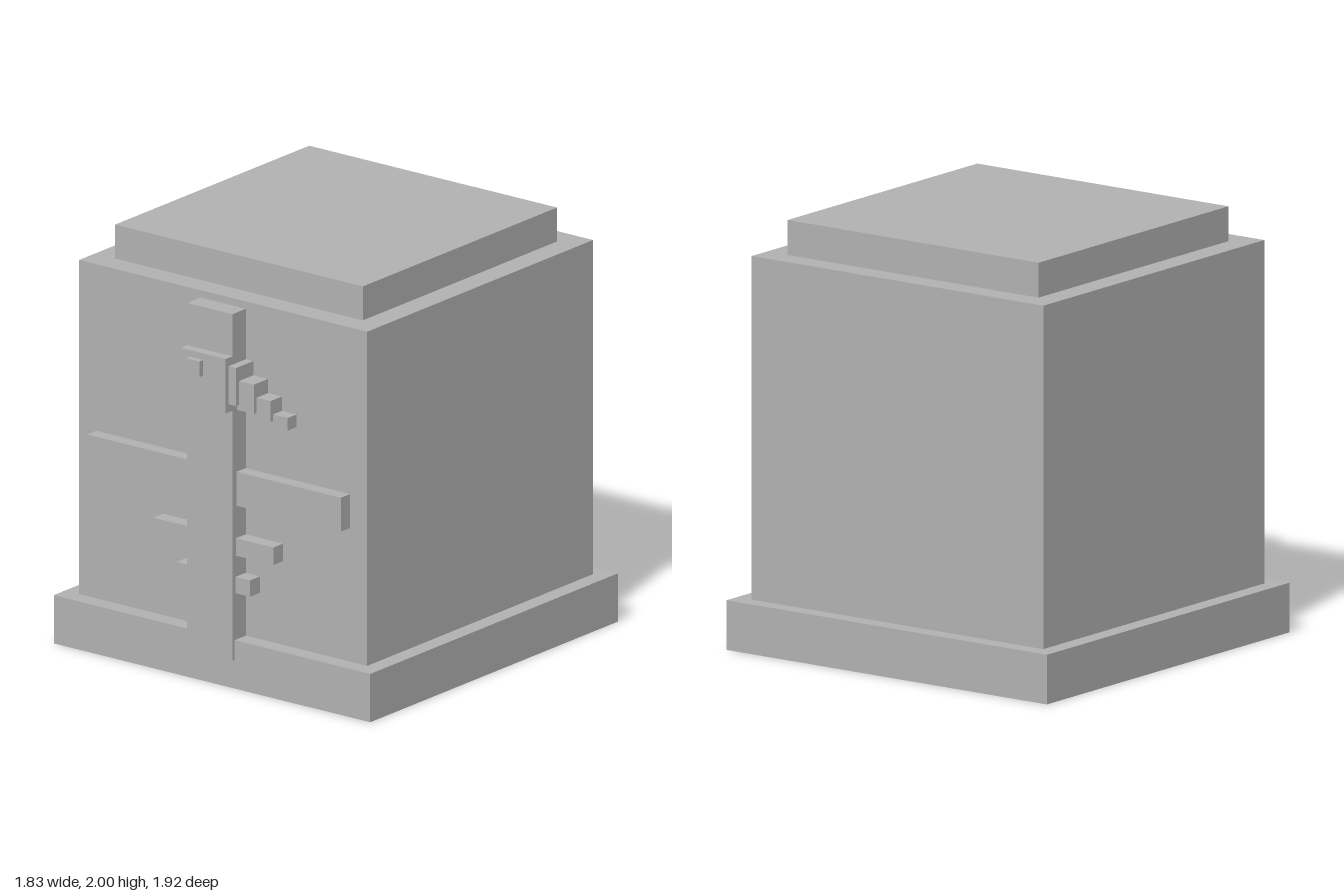
import * as THREE from 'three';

const stone = new THREE.MeshStandardMaterial({ color: 0xb2b2b2 });
stone.name = 'stone grey';

// Box given by its limits on each axis
function block(name, [x0, x1], [y0, y1], [z0, z1]) {
  const mesh = new THREE.Mesh(new THREE.BoxGeometry(x1 - x0, y1 - y0, z1 - z0), stone);
  mesh.position.set((x0 + x1) / 2, (y0 + y1) / 2, (z0 + z1) / 2);
  mesh.name = name;
  return mesh;
}

export function createModel() {
  const model = new THREE.Group();
  model.name = 'carvedPedestal';
  const wall = 0.787; // front face of the body
  const root = wall - 0.03; // carvings are sunk slightly into the wall

  // Stepped pedestal
  model.add(
    block('base', [-0.915, 0.915], [0, 0.232], [-0.962, 0.87]),
    block('body', [-0.833, 0.833], [0.232, 1.837], [-0.88, wall]),
    block('cap', [-0.717, 0.717], [1.837, 2], [-0.763, 0.67]),
  );

  // Carved figure on the front
  const carving = new THREE.Group();
  carving.name = 'carving';
  carving.add(
    block('trunk', [-0.131, 0.131], [0.137, 1.802], [root, 0.886]),
    block('head', [-0.131, 0.131], [1.338, 1.6], [root, 0.936]),
    block('eye', [-0.08, 0], [1.493, 1.568], [root, 0.963]),
  );

  // Beak: four shrinking steps towards +x
  const beak = [
    [[0.08, 0.175], [1.377, 1.56], 0.914],
    [[0.163, 0.26], [1.35, 1.492], 0.892],
    [[0.245, 0.34], [1.323, 1.424], 0.871],
    [[0.327, 0.424], [1.295, 1.355], 0.852],
  ];
  beak.forEach(([x, y, z], i) => carving.add(block('beakStep' + (i + 1), x, y, [root, z])));

  // Wings and the two smaller bars, running behind the trunk
  carving.add(
    block('wings', [-0.734, 0.734], [0.874, 1.037], [root, 0.855]),
    block('upperBar', [-0.347, 0.347], [0.635, 0.719], [root, 0.86]),
    block('lowerBar', [-0.213, 0.213], [0.455, 0.534], [root, 0.862]),
  );
  model.add(carving);
  return model;
}
